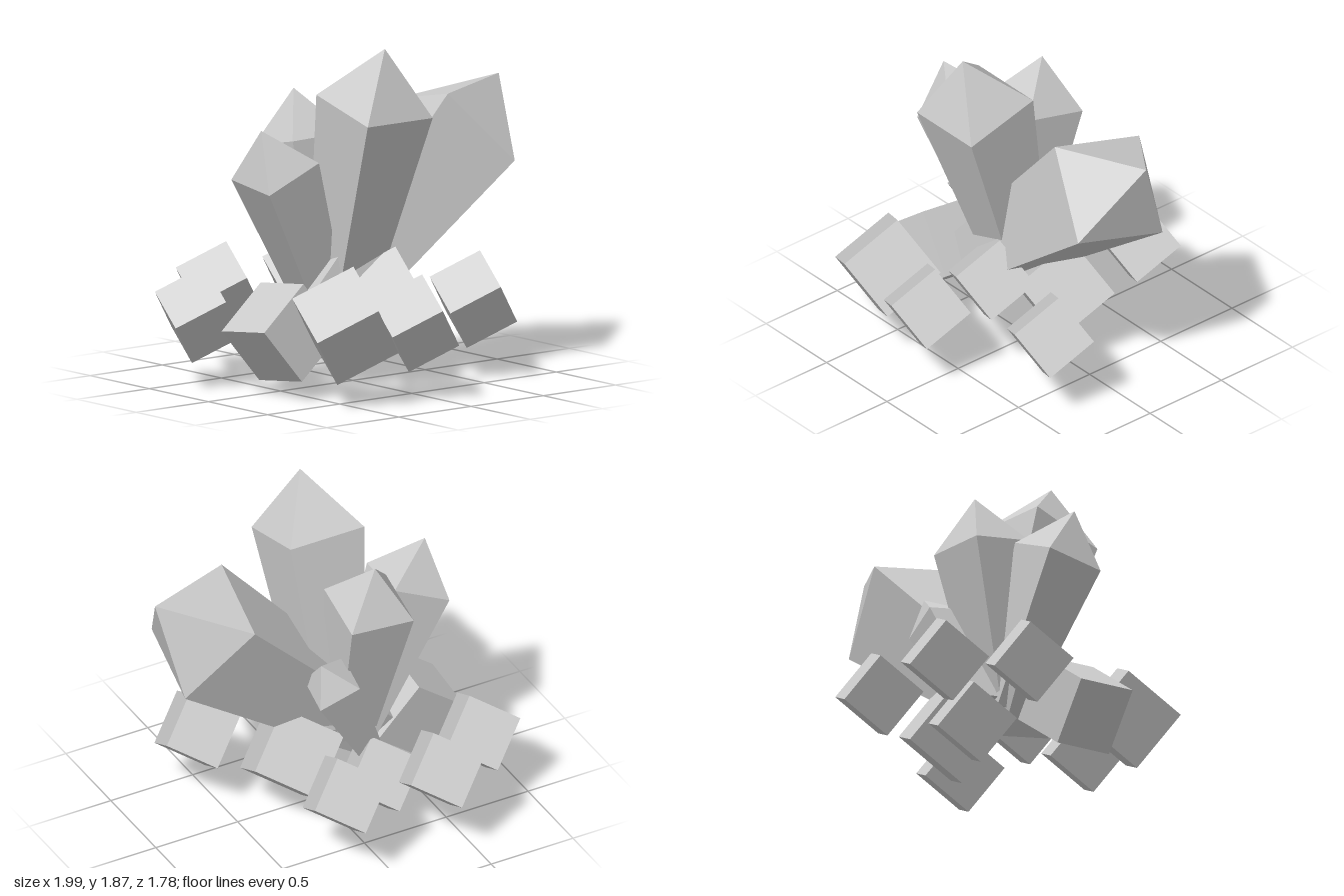
import * as THREE from 'three';

const material = new THREE.MeshStandardMaterial({ color: 0xcccccc, flatShading: true });

// Place a mesh with its local y along axis and local x along edge
function place(mesh, name, pos, axis, edge) {
  const y = new THREE.Vector3(...axis).normalize();
  const x = new THREE.Vector3(...edge);
  x.addScaledVector(y, -x.dot(y)).normalize();
  const z = new THREE.Vector3().crossVectors(x, y);
  mesh.quaternion.setFromRotationMatrix(new THREE.Matrix4().makeBasis(x, y, z));
  mesh.position.set(...pos);
  mesh.name = name;
  return mesh;
}

// Four-sided crystal: narrow foot, wide shoulder at the local origin, pyramid tip
function crystalGeometry(side) {
  const r = side * Math.SQRT1_2;
  const profile = [[0, -2.5 * side], [0.55 * r, -2.5 * side], [r, 0], [0, 0.75 * side]];
  return new THREE.LatheGeometry(profile.map(p => new THREE.Vector2(...p)), 4).rotateY(Math.PI / 4);
}

export function createModel() {
  const model = new THREE.Group();
  model.name = 'crystalCluster';

  // Tall crystals: name, shoulder centre, axis, shoulder edge direction, shoulder width
  const crystals = [
    ['frontCrystal', [-0.095, 1.55, 0.30], [0, 0.965, 0.26], [1, 0, 0], 0.45],
    ['largeLeaningCrystal', [0.693, 1.296, 0.03], [0.74, 0.67, -0.02], [0.354, -0.385, 0.135], 0.54],
    ['sideCrystal', [-0.553, 1.209, 0.019], [-0.426, 0.9, 0.07], [0.31, 0.144, 0.034], 0.35],
    ['backCrystal', [-0.191, 1.316, -0.204], [-0.025, 0.98, -0.2], [0.365, 0.01, 0.024], 0.366],
    ['smallBackCrystal', [0.077, 0.933, -0.28], [0.44, 0.89, -0.134], [0.216, -0.099, 0.046], 0.242],
  ];
  for (const [name, pos, axis, edge, side] of crystals)
    model.add(place(new THREE.Mesh(crystalGeometry(side), material), name, pos, axis, edge));

  // Cubes around the foot, all tilted alike: x, y, z, side
  const cubes = [
    [-0.39, 0.45, -0.65, 0.305],
    [0.176, 0.45, -0.61, 0.305],
    [-0.76, 0.40, -0.375, 0.305],
    [-0.51, 0.44, 0.56, 0.37],
    [-0.09, 0.417, 0.64, 0.305],
    [0.565, 0.428, 0.33, 0.305],
    [-0.21, 0.263, -0.285, 0.305],
    [0.20, 0.40, -0.06, 0.37],
    [0.02, 0.505, 0.28, 0.305],
  ];
  cubes.forEach(([x, y, z, s], i) => {
    const cube = new THREE.Mesh(new THREE.BoxGeometry(s, s, s), material);
    model.add(place(cube, `cube${i + 1}`, [x, y, z], [0.76, 0.45, 0.47], [0.59, -0.74, -0.31]));
  });

  // One more cube, turned differently, on the right flank
  const flank = new THREE.Mesh(new THREE.BoxGeometry(0.37, 0.37, 0.37), material);
  model.add(place(flank, 'flankCube', [-0.588, 0.352, 0.114], [0.77, 0.61, -0.06], [0.62, -0.77, 0.1]));

  return model;
}
